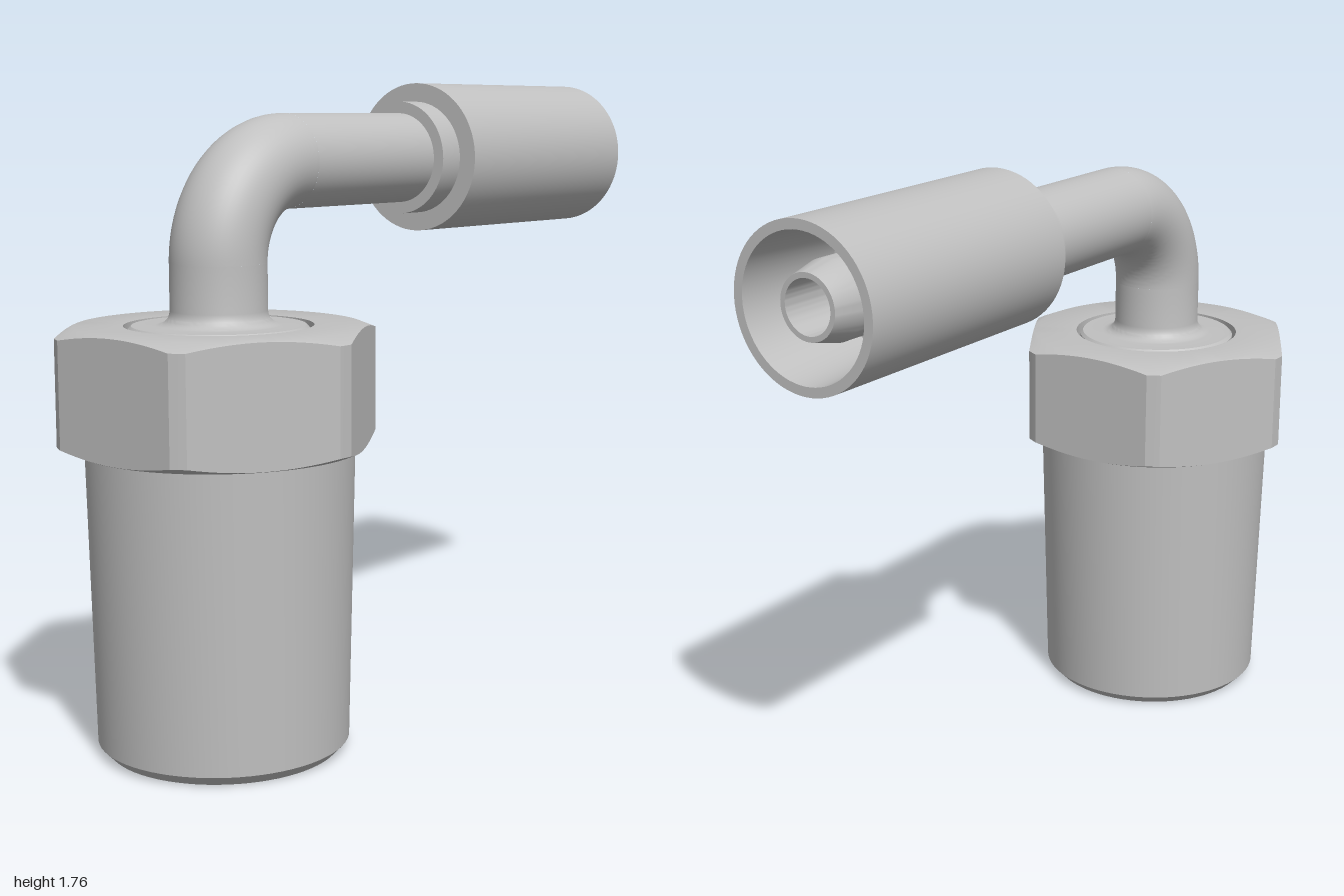
import * as THREE from 'three';
import { toCreasedNormals } from 'three/addons/utils/BufferGeometryUtils.js';

const AXIS_X = -0.62;   // vertical axis of the threaded end
const AXIS_Y = 1.545;   // horizontal axis of the hose end
const TUBE_R = 0.127;
const BEND_R = 0.255;

const steel = new THREE.MeshStandardMaterial({ color: 0xc0c0c0 });
steel.name = 'steel';

function part(name, geometry) {
  const mesh = new THREE.Mesh(toCreasedNormals(geometry, 0.45), steel);
  mesh.name = name;
  return mesh;
}

// Revolved part from [radius, height] pairs; outside runs upward
function turned(points, segments = 72) {
  return new THREE.LatheGeometry(points.map(([r, y]) => new THREE.Vector2(r, y)), segments);
}

// Hexagonal nut with rounded-off corners, chamfers and a side hole
function makeNut() {
  const nut = new THREE.Group();
  nut.name = 'hexNut';
  const apothem = 0.38, corner = 0.427, low = 0.81, high = 1.13, slope = 0.4, seat = 0.376;
  const edge = Math.acos(apothem / corner), N = 16, STRIP = 3, HOLE_SIDE = 2;
  const sideAngle = (k) => Math.PI / 2 + k * Math.PI / 3;
  const drop = (r) => (r - seat) * slope;

  // Sections around the nut: each flat, then the strip at its corner
  const samples = [];
  for (let k = 0; k < 6; k++) {
    for (let i = 0; i < N; i++) {
      const a = -edge + (2 * edge * i) / N;
      samples.push({ t: sideAngle(k) + a, r: apothem / Math.cos(a), holed: k === HOLE_SIDE });
    }
    for (let i = 0; i < STRIP; i++) {
      const a = edge + ((Math.PI / 3 - 2 * edge) * i) / STRIP;
      samples.push({ t: sideAngle(k) + a, r: corner, holed: false });
    }
  }
  const WALL = 2;
  const section = ({ t, r }) => [
    [0.33, low], [seat, low], [r, low + drop(r)],
    [r, high - drop(r)], [seat, high], [0.247, high], [0.247, 1.06], [0.2, 1.06],
  ].map(([q, y]) => [q * Math.sin(t), y, q * Math.cos(t)]);

  const pos = [];
  samples.forEach((s, i) => {
    const A = section(s), B = section(samples[(i + 1) % samples.length]);
    for (let j = 0; j < A.length - 1; j++) {
      if (j === WALL && s.holed) continue;
      pos.push(...A[j], ...B[j], ...B[j + 1], ...A[j], ...B[j + 1], ...A[j + 1]);
    }
  });
  const shell = new THREE.BufferGeometry();
  shell.setAttribute('position', new THREE.Float32BufferAttribute(pos, 3));
  nut.add(part('nutShell', shell));

  // The drilled flat
  const lower = [], upper = [];
  for (let i = 0; i <= N; i++) {
    const a = -edge + (2 * edge * i) / N, u = apothem * Math.tan(a), d = drop(apothem / Math.cos(a));
    lower.push(new THREE.Vector2(u, low + d));
    upper.unshift(new THREE.Vector2(u, high - d));
  }
  const holeX = 0.04, holeY = 1.01, holeR = 0.066;
  const face = new THREE.Shape([...lower, ...upper]);
  face.holes.push(new THREE.Path().absarc(holeX, holeY, holeR, 0, Math.PI * 2, true));
  const flat = new THREE.ShapeGeometry(face, 24);
  flat.translate(0, 0, apothem).rotateY(sideAngle(HOLE_SIDE));
  nut.add(part('drilledFlat', flat));

  const bore = turned([[holeR, 0], [holeR, -0.125], [0, -0.125]], 48);
  bore.rotateX(Math.PI / 2).translate(holeX, holeY, apothem).rotateY(sideAngle(HOLE_SIDE));
  nut.add(part('sideHole', bore));
  return nut;
}

export function createModel() {
  const model = new THREE.Group();
  model.name = 'elbowHoseFitting';

  // Upright end: tapered body with bore, nut, swivel stem
  const upright = new THREE.Group();
  upright.name = 'uprightEnd';
  upright.position.x = AXIS_X;
  upright.add(part('taperedBody', turned([
    [0, 0.8], [0.13, 0.8], [0.13, 0], [0.308, 0], [0.335, 0.028], [0.353, 0.82],
  ])));
  upright.add(makeNut());

  const stem = [[0.235, 1.05], [0.235, 1.122], [0.227, 1.13], [0.165, 1.13]];
  for (let i = 1; i <= 6; i++) {
    const a = (i / 6) * Math.PI / 2;
    stem.push([0.165 - 0.038 * Math.sin(a), 1.168 - 0.038 * Math.cos(a)]);
  }
  stem.push([TUBE_R, AXIS_Y - BEND_R]);
  upright.add(part('swivelStem', turned(stem)));
  model.add(upright);

  // Quarter bend
  const bend = new THREE.TorusGeometry(BEND_R, TUBE_R, 48, 32, Math.PI / 2);
  bend.rotateZ(Math.PI / 2).translate(AXIS_X + BEND_R, AXIS_Y - BEND_R, 0);
  model.add(part('tubeBend', bend));

  // Hose end, turned along x
  const hoseEnd = new THREE.Group();
  hoseEnd.name = 'hoseEnd';
  hoseEnd.position.y = AXIS_Y;
  hoseEnd.rotation.z = -Math.PI / 2;
  hoseEnd.add(part('straightTube', turned([[TUBE_R, AXIS_X + BEND_R], [TUBE_R, 0.14]])));
  hoseEnd.add(part('collar', turned([[0.12, 0.135], [0.16, 0.135], [0.16, 0.22]])));
  hoseEnd.add(part('ferrule', turned([
    [0.15, 0.215], [0.213, 0.215], [0.213, 1], [0.187, 1], [0.165, 0.7], [0.09, 0.7],
  ])));
  hoseEnd.add(part('hoseNipple', turned([
    [0.103, 0.7], [0.103, 0.9], [0.084, 0.98], [0.07, 0.98], [0.07, 0.3], [0, 0.3],
  ])));
  model.add(hoseEnd);

  return model;
}
